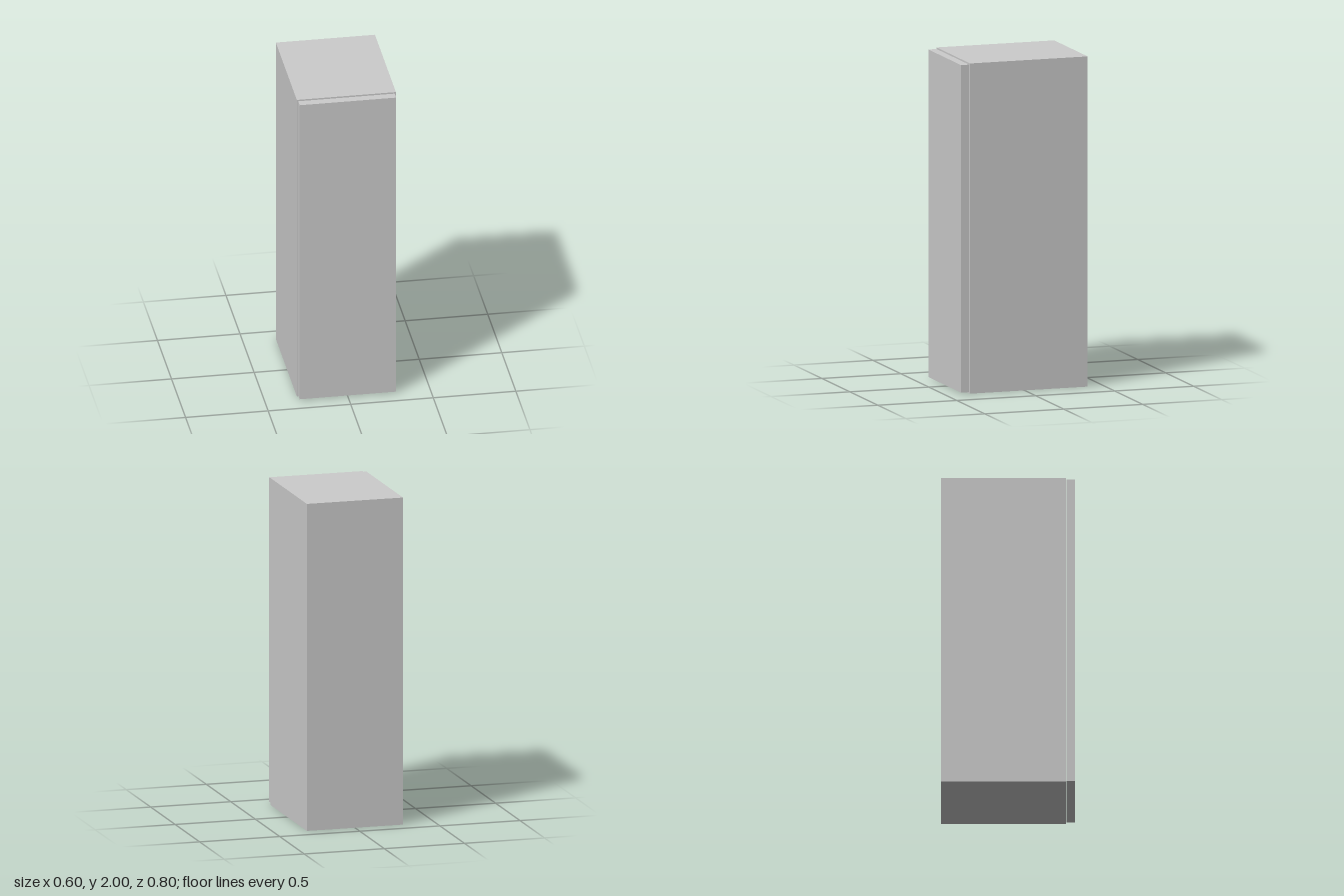
import * as THREE from 'three';

export function createModel() {
  const group = new THREE.Group();
  group.name = 'cabinet';
  const material = new THREE.MeshStandardMaterial({ color: 0xcccccc });

  // Box given by its lower and upper corners
  function panel(name, [x0, y0, z0], [x1, y1, z1]) {
    const mesh = new THREE.Mesh(new THREE.BoxGeometry(x1 - x0, y1 - y0, z1 - z0), material);
    mesh.position.set((x0 + x1) / 2, (y0 + y1) / 2, (z0 + z1) / 2);
    mesh.name = name;
    group.add(mesh);
  }

  const halfW = 0.3, height = 2, back = -0.4, front = 0.345, t = 0.048;
  const inner = halfW - t;

  // Carcass: two full-height sides with top, bottom and back fitted between them
  panel('leftSide', [inner, 0, back], [halfW, height, front]);
  panel('rightSide', [-halfW, 0, back], [-inner, height, front]);
  panel('bottomPanel', [-inner, 0, back], [inner, t, front]);
  panel('topPanel', [-inner, height - t, back], [inner, height, front]);
  panel('backPanel', [-inner, t, back], [inner, height - t, back + t]);

  // Door: slightly smaller than the carcass, just in front of it
  const reveal = 0.008;
  panel('door', [-halfW + reveal, reveal, front + 0.003], [halfW - reveal, height - reveal, 0.4]);

  return group;
}
